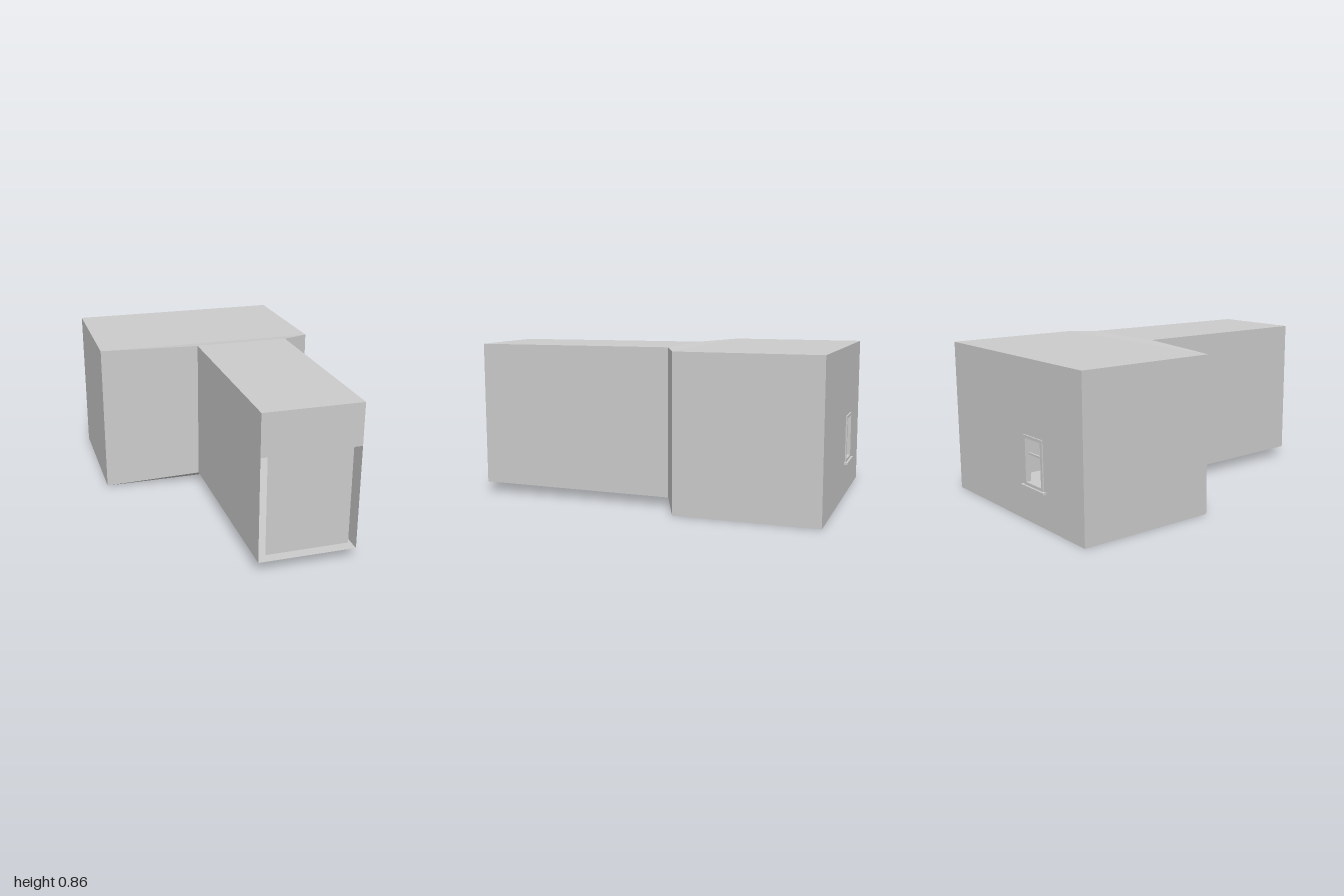
import * as THREE from 'three';

const material = new THREE.MeshStandardMaterial({ color: 0xcccccc, flatShading: true, side: THREE.DoubleSide });

function add(parent, name, geometry, x = 0, y = 0, z = 0) {
  const mesh = new THREE.Mesh(geometry, material);
  mesh.name = name;
  mesh.position.set(x, y, z);
  parent.add(mesh);
  return mesh;
}

// Rectangle path between two corners
function rect(PathType, x0, y0, x1, y1) {
  return new PathType([[x0, y0], [x1, y0], [x1, y1], [x0, y1]].map(([x, y]) => new THREE.Vector2(x, y)));
}

// Skin joining rectangular sections [z, x0, x1, y0, y1], listed from back to front
function loft(sections) {
  const rings = sections.map(([z, x0, x1, y0, y1]) => [[x0, y0, z], [x1, y0, z], [x1, y1, z], [x0, y1, z]]);
  const positions = [];
  for (let i = 0; i < rings.length - 1; i++) {
    for (let j = 0; j < 4; j++) {
      const k = (j + 1) % 4;
      const a = rings[i][j], b = rings[i][k], c = rings[i + 1][k], d = rings[i + 1][j];
      positions.push(...a, ...b, ...c, ...a, ...c, ...d);
    }
  }
  const geometry = new THREE.BufferGeometry();
  geometry.setAttribute('position', new THREE.Float32BufferAttribute(positions, 3));
  geometry.computeVertexNormals();
  return geometry;
}

export function createModel() {
  const model = new THREE.Group();
  model.name = 'house';

  // Hollow shell: wide room, short tapered neck, long corridor
  add(model, 'outerWalls', loft([
    [-0.98, -0.63, 0.63, 0, 0.855],
    [-0.2, -0.63, 0.63, 0, 0.855],
    [-0.12, -0.075, 0.467, 0.052, 0.864],
    [1, -0.07, 0.462, 0.057, 0.86],
  ]));

  // Back wall with the window opening, turned to face outwards
  const win = { x0: -0.28, x1: -0.105, y0: 0.195, y1: 0.46 };
  const wall = rect(THREE.Shape, -0.63, 0, 0.63, 0.855);
  wall.holes.push(rect(THREE.Path, -win.x1, win.y0, -win.x0, win.y1));
  add(model, 'backWall', new THREE.ShapeGeometry(wall), 0, 0, -0.98).rotation.y = Math.PI;

  // Front opening: lintel above, door panel with gaps at the sides and bottom
  add(model, 'lintel', new THREE.ShapeGeometry(rect(THREE.Shape, -0.07, 0.63, 0.462, 0.86)), 0, 0, 1);
  add(model, 'doorPanel', new THREE.ShapeGeometry(rect(THREE.Shape, -0.03, 0.09, 0.42, 0.63)), 0, 0, 0.99);

  // Window frame, sash rail and sill
  const windowGroup = new THREE.Group();
  windowGroup.name = 'window';
  model.add(windowGroup);
  const frame = rect(THREE.Shape, win.x0, win.y0, win.x1, win.y1);
  const t = 0.016;
  frame.holes.push(rect(THREE.Path, win.x0 + t, win.y0 + t, win.x1 - t, win.y1 - t));
  add(windowGroup, 'windowFrame', new THREE.ExtrudeGeometry(frame, { depth: 0.03, bevelEnabled: false }), 0, 0, -0.988);
  const middle = (win.x0 + win.x1) / 2;
  add(windowGroup, 'sashRail', new THREE.BoxGeometry(win.x1 - win.x0 - 2 * t, 0.01, 0.01), middle, 0.36, -0.965);
  add(windowGroup, 'windowSill', new THREE.BoxGeometry(0.215, 0.012, 0.04), middle, 0.19, -0.98);

  return model;
}
